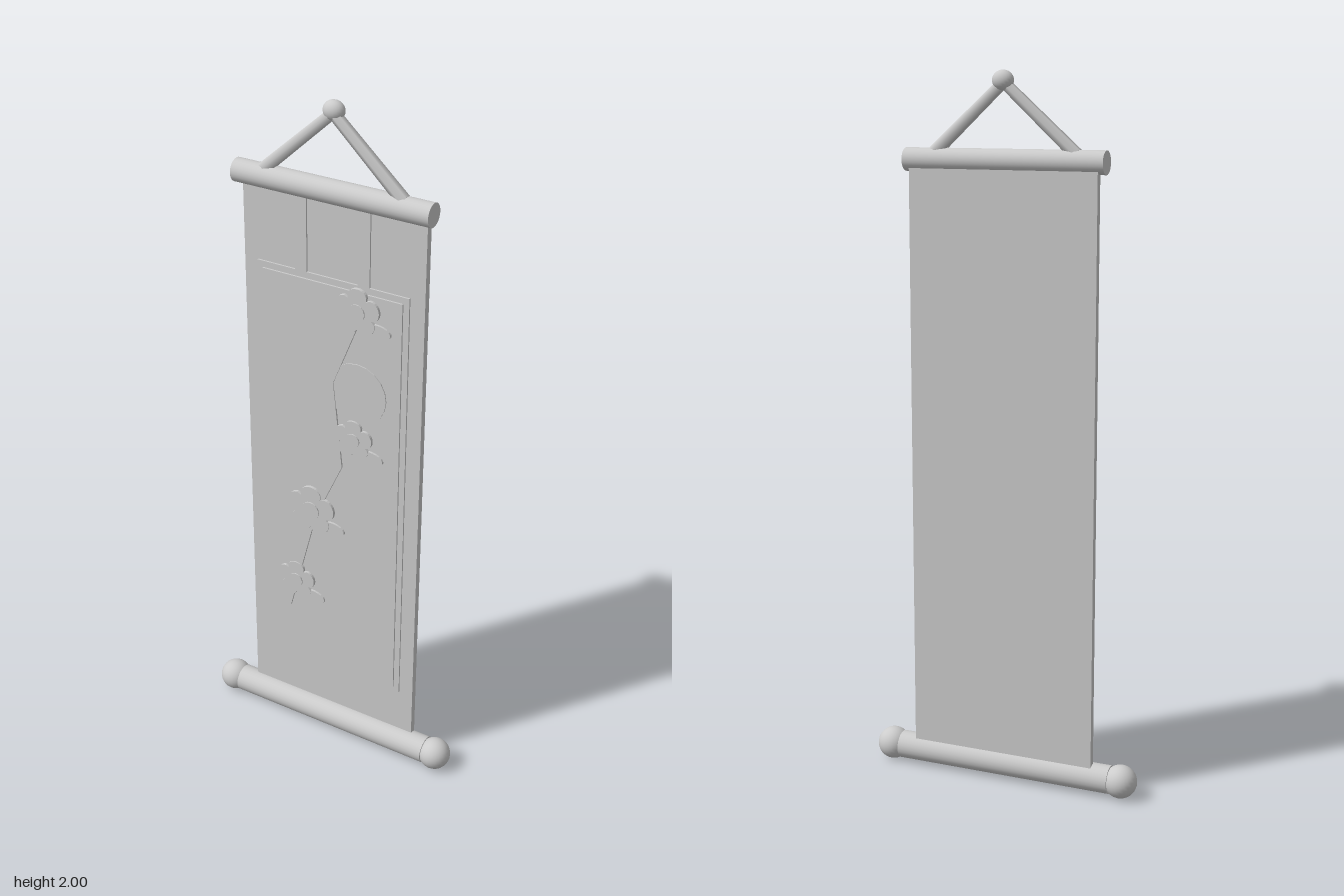
import * as THREE from 'three';

export function createModel() {
  const model = new THREE.Group();
  model.name = 'hangingScroll';
  const grey = new THREE.MeshStandardMaterial({ color: 0xcccccc });
  grey.name = 'pale grey';

  const add = (name, geometry, x = 0, y = 0, z = 0, parent = model) => {
    const mesh = new THREE.Mesh(geometry, grey);
    mesh.name = name;
    mesh.position.set(x, y, z);
    parent.add(mesh);
    return mesh;
  };
  // Slab given by its edges in x, y and z
  const slab = (name, x0, x1, y0, y1, z0, z1) =>
    add(name, new THREE.BoxGeometry(x1 - x0, y1 - y0, z1 - z0), (x0 + x1) / 2, (y0 + y1) / 2, (z0 + z1) / 2);
  // Flat relief cut from a shape, from z0 to z1
  const relief = (name, shape, x, y, z0, z1) =>
    add(name, new THREE.ExtrudeGeometry(shape, { depth: z1 - z0, bevelEnabled: false, curveSegments: 10 }), x, y, z0);
  const ellipse = (rx, ry, turn = 0) =>
    new THREE.Shape().absellipse(0, 0, rx, ry, 0, Math.PI * 2, false, turn);

  // Cloth, ribbons and the stepped picture panel
  slab('cloth', -0.273, 0.273, 0.06, 1.76, -0.022, -0.002);
  for (const s of [-1, 1]) slab('ribbon', s * 0.095 - 0.018, s * 0.095 + 0.018, 1.51, 1.75, -0.004, 0.003);
  slab('pictureBorder', -0.23, 0.23, 0.232, 1.522, -0.004, 0.003);
  slab('picture', -0.213, 0.213, 0.25, 1.504, 0, 0.008);

  // Rods
  add('topRod', new THREE.CylinderGeometry(0.032, 0.032, 0.58, 24), 0, 1.763, 0).rotation.z = Math.PI / 2;
  add('bottomRod', new THREE.CylinderGeometry(0.04, 0.04, 0.65, 24), 0, 0.052, 0).rotation.z = Math.PI / 2;
  for (const s of [-1, 1]) add('rodKnob', new THREE.SphereGeometry(0.047, 24, 16), s * 0.355, 0.052, 0);

  // Hanging cord and knot
  for (const s of [-1, 1]) {
    const foot = new THREE.Vector3(s * 0.205, 1.783, 0);
    const peak = new THREE.Vector3(0, 1.968, -0.004);
    const dir = peak.clone().sub(foot);
    const cord = add('cord', new THREE.CylinderGeometry(0.016, 0.019, dir.length(), 6));
    cord.position.copy(foot).add(peak).multiplyScalar(0.5);
    cord.quaternion.setFromUnitVectors(new THREE.Vector3(0, 1, 0), dir.normalize());
  }
  add('knot', new THREE.SphereGeometry(0.03, 20, 14), 0, 1.973, -0.008).scale.set(1, 0.9, 0.8);

  // Moon behind the branch
  relief('moon', ellipse(0.09, 0.09), 0.082, 1.205, 0.006, 0.011);

  // Branch outline: centre line points with half widths
  const line = [[0.08, 1.43, 0.013], [-0.005, 1.22, 0.015], [0.022, 0.96, 0.016], [-0.065, 0.77, 0.018], [-0.155, 0.42, 0.019]];
  const branch = new THREE.Shape([
    ...line.map(([x, y, w]) => new THREE.Vector2(x - w, y)),
    ...line.map(([x, y, w]) => new THREE.Vector2(x + w, y)).reverse(),
  ]);
  relief('branch', branch, 0, 0, 0.006, 0.0135);

  // Five-petalled blossoms, each with a small leaf
  const blossoms = [[0.083, 1.45, 0.068], [0.074, 1.06, 0.06], [-0.063, 0.785, 0.078], [-0.115, 0.522, 0.063]];
  for (const [x, y, r] of blossoms) {
    const outline = [];
    for (let i = 0; i < 60; i++) {
      const a = (i / 60) * Math.PI * 2;
      const d = r * (0.68 + 0.32 * Math.sqrt(Math.abs(Math.cos(2.5 * (a - Math.PI / 2)))));
      outline.push(new THREE.Vector2(Math.cos(a) * d, Math.sin(a) * d));
    }
    relief('blossom', new THREE.Shape(outline), x, y, 0.006, 0.0165);
    relief('blossomCentre', ellipse(r * 0.36, r * 0.36), x, y, 0.012, 0.02);
    relief('leaf', ellipse(0.036, 0.018, -0.15), x + r * 0.95, y - 0.04, 0.006, 0.0145);
  }
  return model;
}
